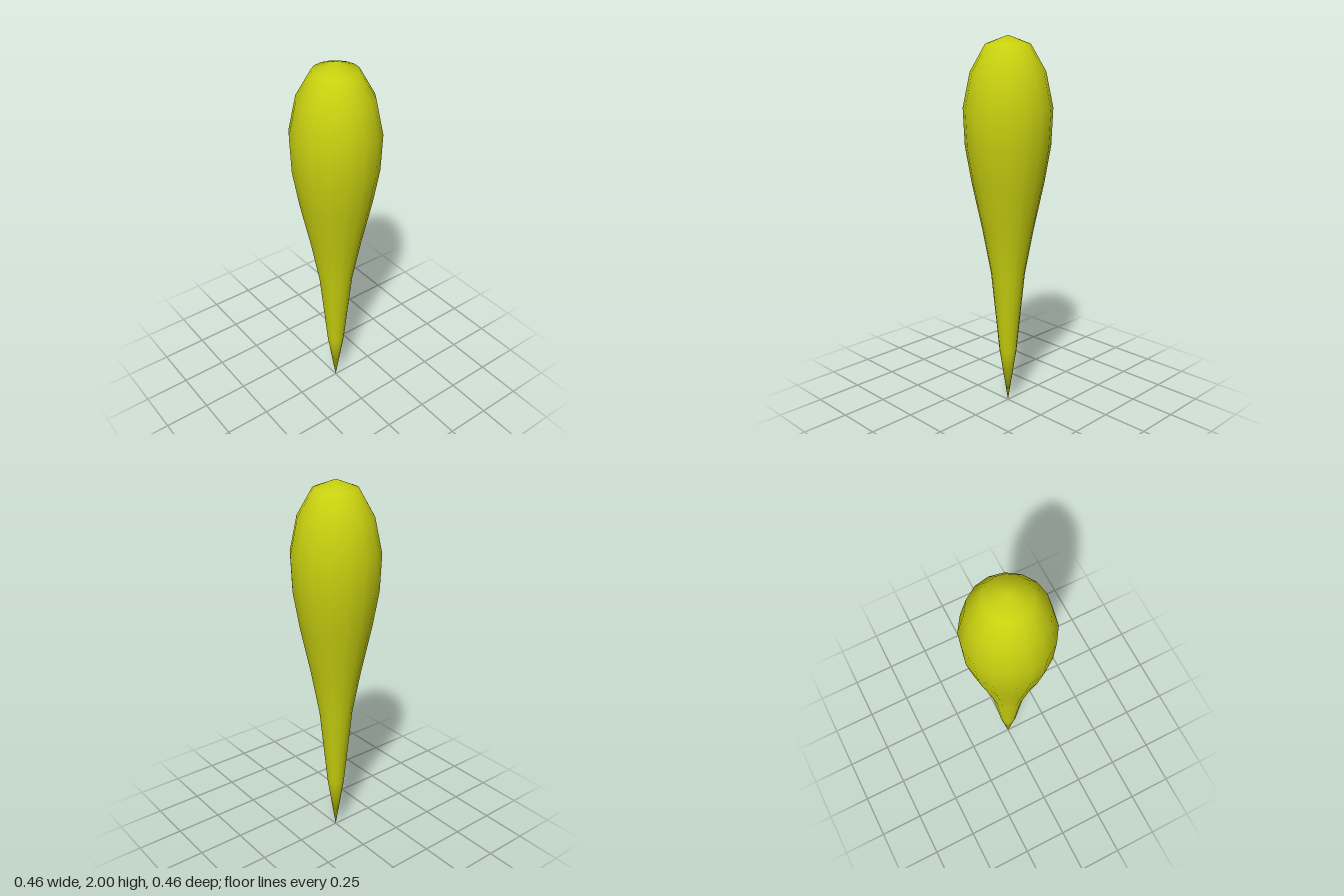
import * as THREE from 'three';

export function createModel() {
  const group = new THREE.Group();
  group.name = 'teardropClub';

  // Profile [radius, height] from the pointed tip up to the rounded head
  const profile = [
    [0, 0], [0.047, 0.305], [0.091, 0.75], [0.137, 1.0], [0.19, 1.25],
    [0.223, 1.445], [0.231, 1.64], [0.193, 1.82], [0.115, 1.957], [0, 2],
  ].map(([r, y]) => new THREE.Vector2(r, y));
  const geometry = new THREE.LatheGeometry(profile, 16);

  // Poles point straight down and up so the shading closes smoothly
  const { position, normal } = geometry.attributes;
  for (let i = 0; i < position.count; i++) {
    const y = position.getY(i);
    if (y < 0.001) normal.setXYZ(i, 0, -1, 0);
    else if (y > 1.999) normal.setXYZ(i, 0, 1, 0);
  }

  const body = new THREE.Mesh(geometry, new THREE.MeshStandardMaterial({ color: 0xc8d00f }));
  body.name = 'body';
  group.add(body);
  return group;
}
